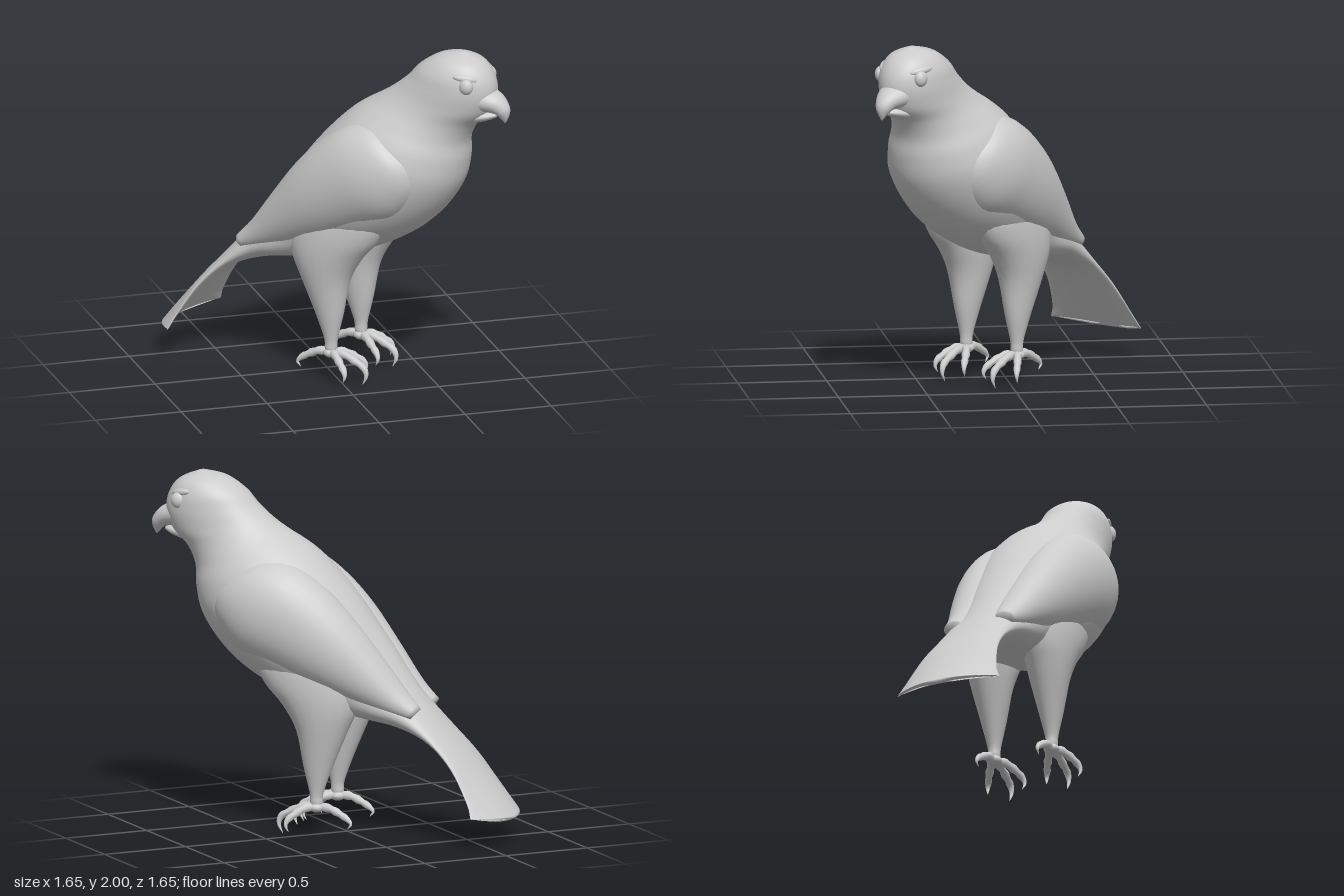
import * as THREE from 'three';

const material = new THREE.MeshStandardMaterial({ color: 0xcccccc, side: THREE.DoubleSide });

// Catmull-Rom resampling of rows of numbers, so few sections give a smooth loft
function resample(rows, steps) {
  const out = [];
  const at = (i) => rows[Math.max(0, Math.min(rows.length - 1, i))];
  for (let i = 0; i < rows.length - 1; i++) {
    for (let k = 0; k < steps; k++) {
      const t = k / steps;
      out.push(rows[i].map((b, c) => {
        const a = at(i - 1)[c], d = at(i + 1)[c], e = at(i + 2)[c];
        return b + 0.5 * t * (d - a + t * (2 * a - 5 * b + 4 * d - e + t * (3 * (b - d) + e - a)));
      }));
    }
  }
  out.push(rows[rows.length - 1]);
  return out;
}

// Closed loft. Row: backZ, backY, frontZ, frontY, halfWidth, sideOffset, bowZ, bowY
// (the bow shifts the outer edges of a section, used for the arched tail)
function loft(name, rows, sides = 32, steps = 4) {
  const full = rows.map((r) => [...r, 0, 0, 0].slice(0, 8));
  const rings = resample(full, steps);
  const pos = [], index = [];
  for (const [bz, by, fz, fy, w, off, bowZ, bowY] of rings) {
    for (let j = 0; j < sides; j++) {
      const t = (j / sides) * Math.PI * 2, c = Math.cos(t), s = Math.sin(t);
      pos.push(off + w * s,
        (by + fy) / 2 + (by - fy) / 2 * c + bowY * s * s,
        (bz + fz) / 2 + (bz - fz) / 2 * c + bowZ * s * s);
    }
  }
  for (let i = 0; i < rings.length - 1; i++) {
    for (let j = 0; j < sides; j++) {
      const a = i * sides + j, b = i * sides + (j + 1) % sides;
      index.push(a, b, a + sides, b, b + sides, a + sides);
    }
  }
  // end caps
  for (const end of [0, rings.length - 1]) {
    const r = rings[end], centre = pos.length / 3;
    pos.push(r[5], (r[1] + r[3]) / 2, (r[0] + r[2]) / 2);
    for (let j = 0; j < sides; j++) {
      const a = end * sides + j, b = end * sides + (j + 1) % sides;
      if (end === 0) index.push(centre, b, a);
      else index.push(centre, a, b);
    }
  }
  const g = new THREE.BufferGeometry();
  g.setAttribute('position', new THREE.Float32BufferAttribute(pos, 3));
  g.setIndex(index);
  g.computeVertexNormals();
  const mesh = new THREE.Mesh(g, material);
  mesh.name = name;
  return mesh;
}

// Tube that thins along its path, with slight knuckles
function toe(name, points, radius) {
  const curve = new THREE.CatmullRomCurve3(points.map((p) => new THREE.Vector3(...p)));
  const n = 24, m = 10;
  const g = new THREE.TubeGeometry(curve, n, 1, m);
  const p = g.attributes.position, v = new THREE.Vector3();
  for (let i = 0; i <= n; i++) {
    const u = i / n, c = curve.getPointAt(u);
    const r = radius * (u < 0.65 ? 1 - 0.35 * u + 0.1 * Math.cos(u * 28) : 0.8 * (1 - u) / 0.35 + 0.03);
    for (let j = 0; j <= m; j++) {
      const k = i * (m + 1) + j;
      v.fromBufferAttribute(p, k).sub(c).multiplyScalar(r).add(c);
      p.setXYZ(k, v.x, v.y, v.z);
    }
  }
  const mesh = new THREE.Mesh(g, material);
  mesh.name = name;
  return mesh;
}

function ellipsoid(name, size, position) {
  const mesh = new THREE.Mesh(new THREE.SphereGeometry(1, 24, 16), material);
  mesh.scale.set(...size);
  mesh.position.set(...position);
  mesh.name = name;
  return mesh;
}

// Parts that exist on both sides, made for +x
function side(name) {
  const g = new THREE.Group();
  g.name = name;

  // folded wing, broad enough to run smoothly into the back
  g.add(loft('wing', [
    [0.56, 1.49, 0.72, 1.34, 0.10, 0.19],
    [0.42, 1.56, 0.69, 1.20, 0.17, 0.20],
    [0.25, 1.535, 0.57, 1.05, 0.207, 0.203],
    [0.08, 1.425, 0.37, 0.96, 0.205, 0.198],
    [-0.08, 1.265, 0.16, 0.87, 0.185, 0.187],
    [-0.24, 1.06, -0.05, 0.79, 0.15, 0.165],
    [-0.385, 0.865, -0.27, 0.72, 0.105, 0.145],
    [-0.48, 0.76, -0.43, 0.69, 0.055, 0.155],
  ]));

  g.add(loft('leg', [
    [0.06, 1.16, 0.44, 1.08, 0.04, 0.20],
    [-0.06, 1.02, 0.47, 0.98, 0.10, 0.20],
    [-0.13, 0.88, 0.42, 0.86, 0.128, 0.187],
    [-0.12, 0.74, 0.315, 0.74, 0.13, 0.18],
    [-0.06, 0.60, 0.235, 0.60, 0.11, 0.178],
    [0.025, 0.40, 0.195, 0.40, 0.07, 0.177],
    [0.08, 0.25, 0.16, 0.25, 0.038, 0.177],
    [0.085, 0.19, 0.155, 0.19, 0.034, 0.177],
    [0.10, 0.14, 0.14, 0.14, 0.02, 0.177],
  ], 24));

  // foot: three front toes and one hind toe, each ending in a hooked claw
  const foot = new THREE.Group();
  foot.name = 'foot';
  foot.position.set(0.177, 0, 0.12);
  foot.add(ellipsoid('footPad', [0.045, 0.03, 0.045], [0, 0.165, 0]));
  for (const [label, dx, dz, drop] of [
    ['outerToe', 0.105, 0.14, 0.03], ['middleToe', 0, 0.215, 0],
    ['innerToe', -0.105, 0.16, 0.03], ['hindToe', 0.01, -0.2, 0.05],
  ]) {
    foot.add(toe(label, [
      [0, 0.165, 0], [dx * 0.4, 0.165, dz * 0.35], [dx * 0.75, 0.135, dz * 0.7],
      [dx * 0.98, 0.10, dz * 0.97], [dx * 1.04, 0.055 + drop * 0.5, dz * 1.03], [dx * 0.97, 0.003 + drop, dz * 0.92],
    ], 0.026));
  }
  g.add(foot);

  g.add(ellipsoid('eye', [0.034, 0.046, 0.042], [0.138, 1.845, 0.95]));
  const brow = ellipsoid('brow', [0.022, 0.022, 0.07], [0.128, 1.888, 0.94]);
  brow.rotation.set(0.2, -0.5, 0);
  g.add(brow);
  g.add(ellipsoid('nostrilBump', [0.022, 0.022, 0.03], [0.058, 1.745, 1.045]));
  return g;
}

export function createModel() {
  const bird = new THREE.Group();
  bird.name = 'bird';

  // head, neck and trunk, from the crown down to the rump
  const trunk = [
    [0.83, 2.0, 0.87, 2.0, 0.02],
    [0.71, 1.97, 0.985, 1.95, 0.12],
    [0.60, 1.90, 1.045, 1.87, 0.172],
    [0.525, 1.82, 1.06, 1.77, 0.188],
    [0.435, 1.745, 1.02, 1.665, 0.197],
    [0.345, 1.685, 0.935, 1.58, 0.22],
    [0.26, 1.635, 0.885, 1.48, 0.265],
    [0.17, 1.57, 0.875, 1.36, 0.32],
    [0.06, 1.465, 0.84, 1.22, 0.36],
    [-0.06, 1.33, 0.745, 1.07, 0.365],
    [-0.17, 1.185, 0.60, 0.93, 0.345],
    [-0.28, 1.035, 0.40, 0.81, 0.30],
    [-0.37, 0.905, 0.17, 0.72, 0.26],
    [-0.44, 0.81, -0.08, 0.67, 0.24],
    [-0.50, 0.735, -0.32, 0.63, 0.218],
  ];
  // fanned, arched tail with a rounded end
  const tail = [
    [-0.60, 0.62, -0.52, 0.56, 0.212, 0, 0, -0.01],
    [-0.72, 0.49, -0.67, 0.45, 0.235, 0, 0, -0.03],
    [-0.85, 0.34, -0.815, 0.31, 0.28, 0, 0.03, -0.06],
    [-0.94, 0.23, -0.91, 0.21, 0.313, 0, 0.09, -0.03],
    [-1.00, 0.155, -0.98, 0.14, 0.312, 0, 0.15, 0.04],
  ];
  bird.add(loft('body', [...trunk, ...tail], 48, 5));

  // hooked upper beak and lower beak
  bird.add(loft('upperBeak', [
    [0.93, 1.66, 0.96, 1.85, 0.13],
    [1.01, 1.672, 1.055, 1.80, 0.092],
    [1.065, 1.67, 1.11, 1.765, 0.066],
    [1.09, 1.655, 1.148, 1.71, 0.044],
    [1.108, 1.635, 1.148, 1.665, 0.022],
    [1.122, 1.62, 1.13, 1.625, 0.004],
  ], 24));
  bird.add(loft('lowerBeak', [
    [0.88, 1.58, 0.90, 1.69, 0.09],
    [0.97, 1.605, 0.98, 1.68, 0.075],
    [1.03, 1.625, 1.035, 1.675, 0.05],
    [1.07, 1.645, 1.072, 1.665, 0.015],
  ], 24));

  const left = side('leftSide'), right = side('rightSide');
  right.scale.x = -1;
  bird.add(left, right);

  // the bird looks out along the diagonal
  bird.rotation.y = Math.PI / 4;
  const model = new THREE.Group();
  model.name = 'perchedRaptor';
  model.add(bird);
  return model;
}
